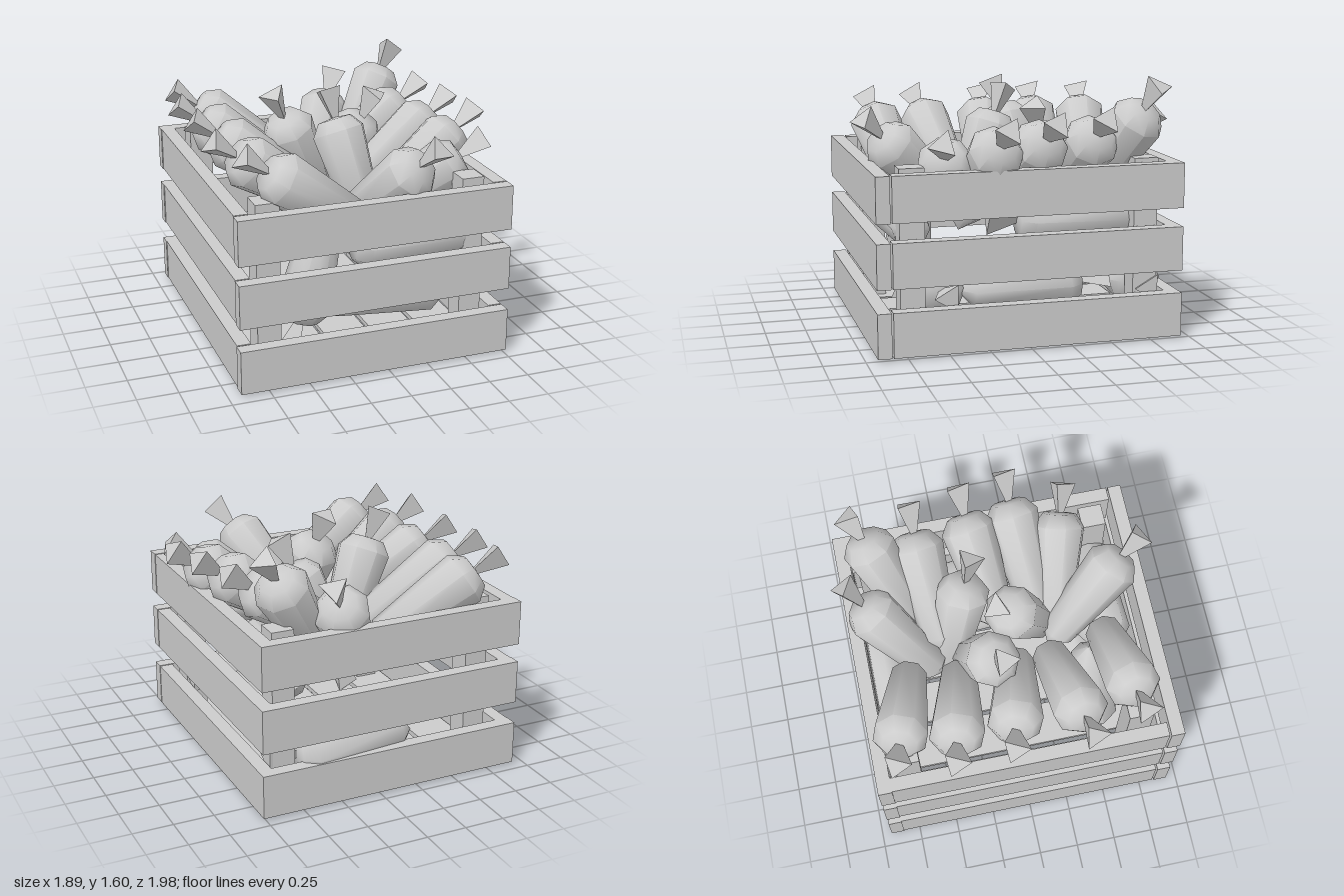
import * as THREE from 'three';
import { toCreasedNormals } from 'three/addons/utils/BufferGeometryUtils.js';

const grey = new THREE.MeshStandardMaterial({ color: 0xcccccc });
const flatGrey = new THREE.MeshStandardMaterial({ color: 0xcccccc, flatShading: true });
const BODY = 0.78, LEAF = 0.19;

// Box given by its lower and upper bounds
function box(name, [x0, x1], [y0, y1], [z0, z1]) {
  const mesh = new THREE.Mesh(new THREE.BoxGeometry(x1 - x0, y1 - y0, z1 - z0), grey);
  mesh.position.set((x0 + x1) / 2, (y0 + y1) / 2, (z0 + z1) / 2);
  mesh.name = name;
  return mesh;
}

function createCrate() {
  const crate = new THREE.Group();
  crate.name = 'crate';
  // Three rows of slats on each side
  for (const y of [[0.015, 0.285], [0.425, 0.695], [0.81, 1.085]]) {
    crate.add(box('frontSlat', [-0.925, 0.765], y, [0.848, 0.932]));
    crate.add(box('backSlat', [-0.925, 0.765], y, [-0.94, -0.856]));
    crate.add(box('rightSlat', [-0.92, -0.835], y, [-0.856, 0.838]));
    crate.add(box('leftSlat', [0.68, 0.765], y, [-0.856, 0.838]));
  }
  // Corner posts
  for (const x of [[-0.775, -0.63], [0.51, 0.65]])
    for (const z of [[-0.815, -0.665], [0.625, 0.775]]) crate.add(box('post', x, [0.02, 1.105], z));
  // Floor boards
  for (let i = 0; i < 5; i++) {
    const x = -0.825 + i * 0.303;
    crate.add(box('floorBoard', [x, x + 0.274], [0, 0.03], [-0.85, 0.84]));
  }
  return crate;
}

// Eight-sided tapering root with a blunt shoulder
const rootProfile = [[0, 0], [0.115, 0.1], [0.17, 0.69], [0.11, 0.77], [0, BODY]];
const rootGeometry = toCreasedNormals(
  new THREE.LatheGeometry(rootProfile.map(([r, y]) => new THREE.Vector2(r, y)), 8), 1);
// Three-sided flaring leaf tuft
const leafGeometry = new THREE.CylinderGeometry(0.095, 0.025, LEAF, 3);
leafGeometry.translate(0, BODY + LEAF / 2 - 0.01, 0);

// Carrot whose leaf ends at `top`, with its point lying towards `tip`
function createCarrot(top, tip, twist = 0) {
  const carrot = new THREE.Group();
  carrot.name = 'carrot';
  const root = new THREE.Mesh(rootGeometry, grey);
  root.name = 'carrotRoot';
  const leaf = new THREE.Mesh(leafGeometry, flatGrey);
  leaf.name = 'carrotLeaf';
  leaf.rotation.y = twist;
  carrot.add(root, leaf);
  const end = new THREE.Vector3(...top);
  const dir = end.clone().sub(new THREE.Vector3(...tip)).normalize();
  carrot.quaternion.setFromUnitVectors(new THREE.Vector3(0, 1, 0), dir);
  carrot.position.copy(end).addScaledVector(dir, -(BODY + LEAF));
  return carrot;
}

const carrots = [
  // Row leaning over the -x side
  [[-0.86, 1.37, -0.8], [-0.08, 0.83, -0.61]],
  [[-0.92, 1.37, -0.46], [-0.14, 0.83, -0.31]],
  [[-0.91, 1.37, -0.11], [-0.12, 0.83, 0.06]],
  [[-0.92, 1.37, 0.37], [-0.12, 0.83, 0.25]],
  [[-0.83, 1.37, 0.7], [-0.04, 0.83, 0.62]],
  // Row leaning over the +x side
  [[0.69, 1.55, -0.81], [0.2, 0.79, -0.5], 1.4],
  [[0.78, 1.37, -0.45], [0.0, 0.83, -0.38]],
  [[0.84, 1.36, -0.13], [0.06, 0.83, 0]],
  [[0.89, 1.34, 0.17], [0.11, 0.8, 0.26]],
  [[0.78, 1.26, 0.54], [0.02, 0.76, 0.34]],
  // Loose carrots on top of the middle
  [[0.32, 1.36, -0.93], [-0.1, 0.66, -0.42], 0.7],
  [[0.3, 1.36, 0.93], [-0.05, 0.75, 0.3], 1.4],
  [[-0.4, 1.5, -0.06], [0, 0.63, -0.25]],
  [[-0.06, 1.5, -0.05], [0.12, 0.61, 0.3], 1.4],
  [[0.32, 1.42, -0.13], [-0.05, 0.55, -0.38]],
  // Carrots lying deeper in the crate
  [[-0.34, 0.75, 0.64], [0.66, 0.72, 0.69]],
  [[0.45, 0.74, 0.21], [0.47, 0.71, -0.72]],
  [[0.68, 0.32, 0.48], [-0.28, 0.32, 0.5]],
  [[0.42, 0.33, -0.59], [0.4, 0.3, 0.37]],
  [[-0.48, 0.04, 0.53], [-0.24, 0.95, 0.5]],
  [[0.68, 0.3, -0.77], [-0.28, 0.3, -0.76]],
];

export function createModel() {
  const model = new THREE.Group();
  model.name = 'crateOfCarrots';
  model.add(createCrate());
  for (const carrot of carrots) model.add(createCarrot(...carrot));
  return model;
}
